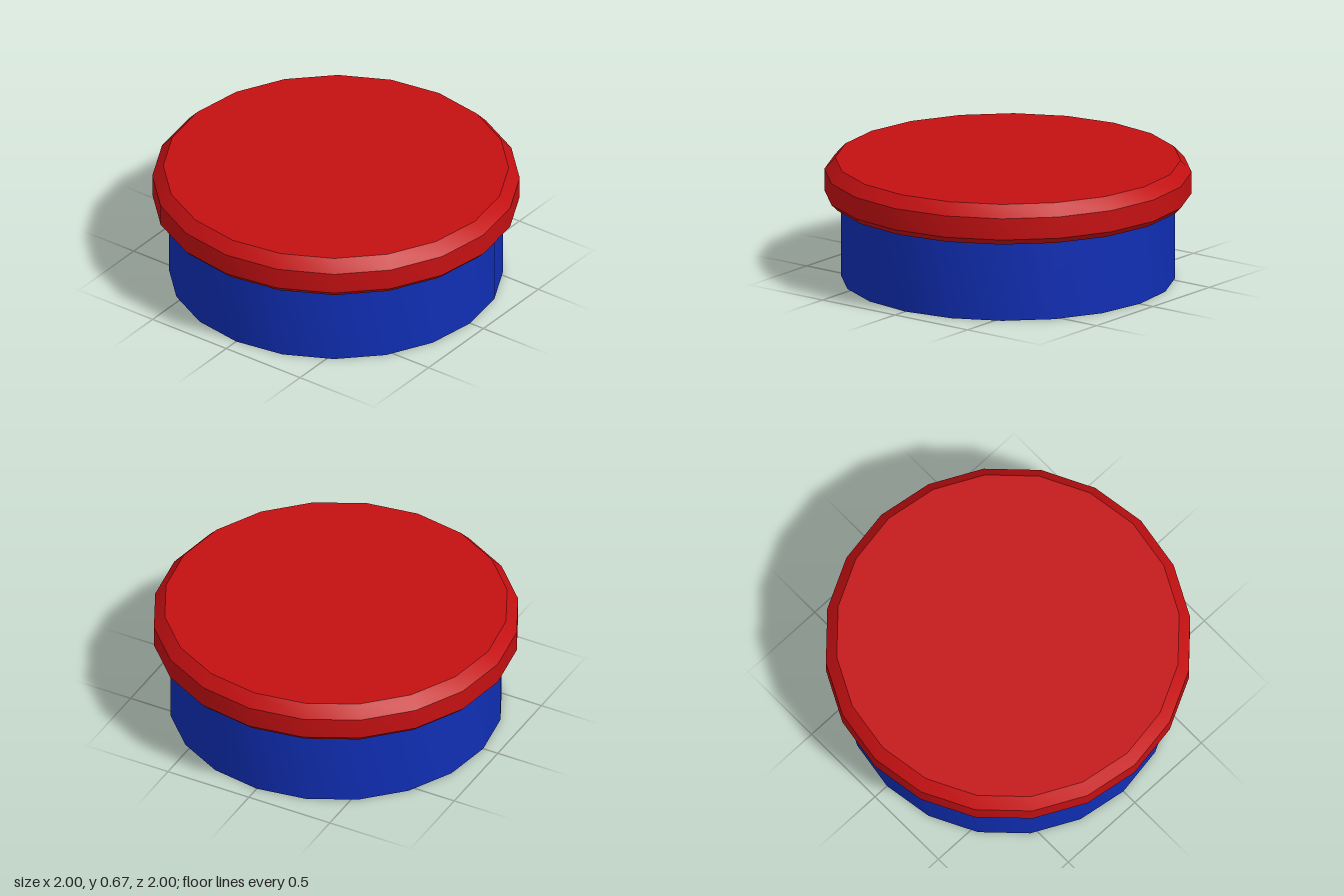
import * as THREE from 'three';
import { toCreasedNormals } from 'three/addons/utils/BufferGeometryUtils.js';

const SIDES = 20;

// Solid of revolution: smooth around the rim, sharp at the profile corners
function turned(name, color, profile) {
  const points = profile.map(([r, y]) => new THREE.Vector2(r, y));
  const geometry = toCreasedNormals(new THREE.LatheGeometry(points, SIDES), 0.5);
  const mesh = new THREE.Mesh(geometry, new THREE.MeshStandardMaterial({ color }));
  mesh.name = name;
  return mesh;
}

export function createModel() {
  const model = new THREE.Group();
  model.name = 'lidded container';

  // Plain round body
  model.add(turned('body', 0x102eb4, [[0, 0], [0.91, 0], [0.91, 0.445], [0, 0.445]]));

  // Overhanging lid, with a small lower chamfer and a larger upper one
  model.add(turned('lid', 0xc41012, [
    [0, 0.445], [0.965, 0.445], [1, 0.48], [1, 0.6], [0.94, 0.665], [0, 0.665],
  ]));

  return model;
}
